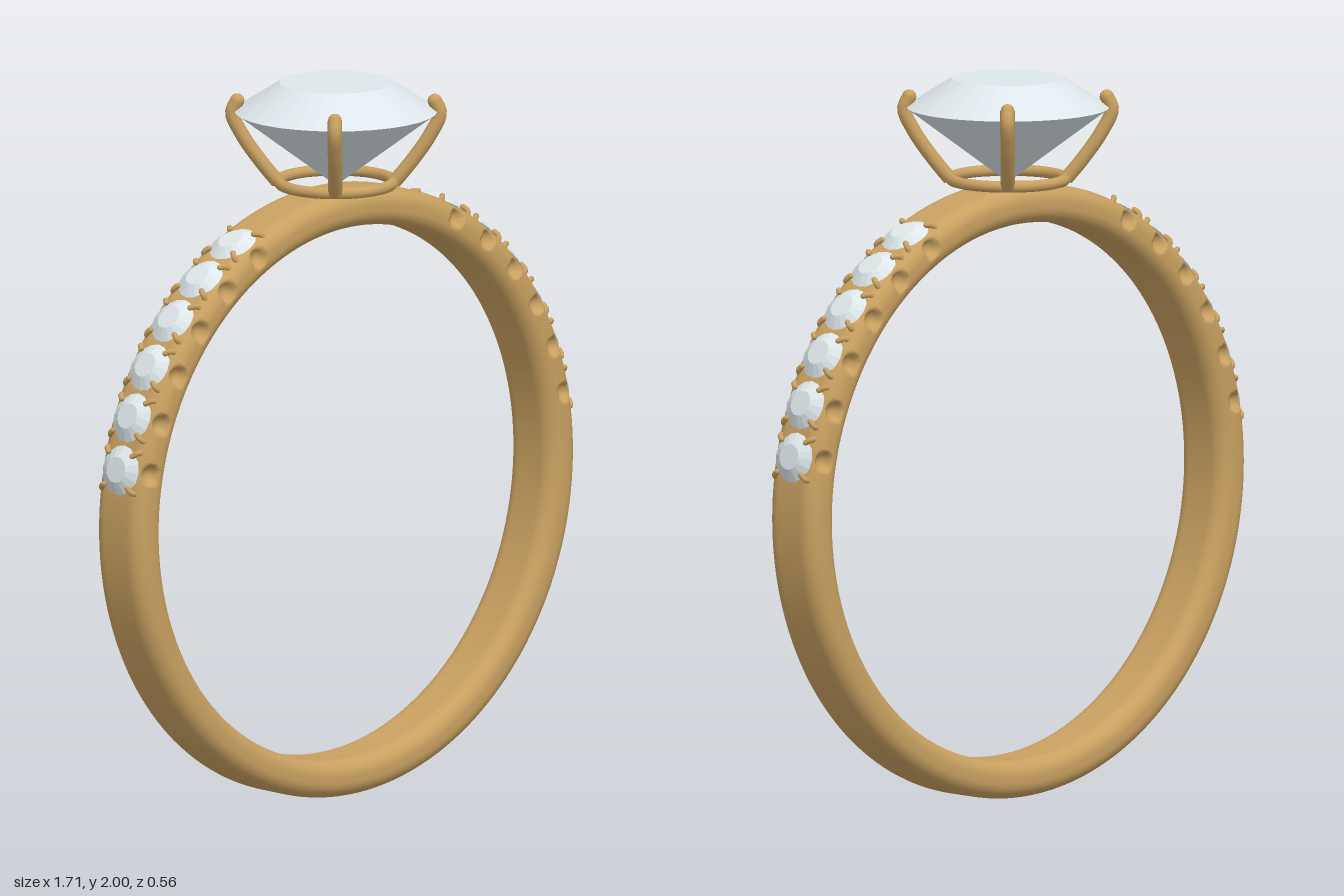
import * as THREE from 'three';

const CENTER_Y = 0.855, MID_R = 0.7975, HALF_T = 0.0525, HALF_W = 0.09, CORNER = 0.045;
const STONE_ANGLES = [12, 22, 32, 42, 52, 62].flatMap(a => [a, 180 - a]);
const rad = THREE.MathUtils.degToRad;

const gold = new THREE.MeshStandardMaterial({ color: 0xc8a060 });
const gem = new THREE.MeshStandardMaterial({ color: 0xdde6ea, flatShading: true });

function add(parent, name, geometry, material) {
  const mesh = new THREE.Mesh(geometry, material);
  mesh.name = name;
  parent.add(mesh);
  return mesh;
}

// Faceted round stone: pointed pavilion, girdle at y = 0, flat table
function stoneGeometry(girdle, table, crown, depth, sides) {
  const profile = [[0, -depth], [girdle, 0], [table, crown], [0, crown]];
  return new THREE.LatheGeometry(profile.map(p => new THREE.Vector2(...p)), sides);
}

// Rounded wire through a few points, with a ball on its tip
function addWire(parent, name, points, radius, segments) {
  const path = new THREE.CatmullRomCurve3(points.map(p => new THREE.Vector3(...p)));
  add(parent, name, new THREE.TubeGeometry(path, segments, radius, 10), gold);
  add(parent, name + 'Tip', new THREE.SphereGeometry(radius, 10, 8), gold)
    .position.copy(path.getPoint(1));
}

// Band: rounded rectangle swept round a circle, with dimples under the small stones
function bandGeometry() {
  const a = HALF_T - CORNER, b = HALF_W - CORNER, q = Math.PI / 2;
  const outline = new THREE.Path();
  [[a, b], [-a, b], [-a, -b], [a, -b]].forEach(([x, y], i) =>
    outline.absarc(x, y, CORNER, i * q, (i + 1) * q, false));
  outline.closePath();
  const profile = outline.getSpacedPoints(72).slice(0, -1);

  // Finer steps where the dimples are
  const angles = [];
  for (let t = 0; t < 360;) {
    angles.push(t);
    t += (t >= 6 && t < 68) || (t >= 112 && t < 174) ? 0.5 : 2;
  }
  const dimples = STONE_ANGLES.map(d =>
    new THREE.Vector2(Math.cos(rad(d)), Math.sin(rad(d))).multiplyScalar(0.816));

  const positions = [], index = [], P = profile.length, N = angles.length;
  const point = new THREE.Vector2();
  angles.forEach((t, i) => profile.forEach((p, j) => {
    point.set(Math.cos(rad(t)), Math.sin(rad(t))).multiplyScalar(MID_R + p.x);
    let z = p.y;
    for (const d of dimples) {
      const r2 = 0.028 ** 2 - point.distanceToSquared(d);
      if (r2 > 0) z = Math.sign(z) * Math.min(Math.abs(z), 0.09 - Math.sqrt(r2));
    }
    positions.push(point.x, point.y, z);
    const i2 = (i + 1) % N, j2 = (j + 1) % P;
    const A = i * P + j, B = i2 * P + j, C = i2 * P + j2, D = i * P + j2;
    index.push(A, B, C, A, C, D);
  }));
  const g = new THREE.BufferGeometry();
  g.setAttribute('position', new THREE.Float32BufferAttribute(positions, 3));
  g.setIndex(index);
  g.computeVertexNormals();
  return g;
}

export function createModel() {
  const ring = new THREE.Group();
  ring.name = 'ring';
  add(ring, 'band', bandGeometry(), gold).position.y = CENTER_Y;

  // Small stones along both shoulders, each held by four claws
  const smallStone = stoneGeometry(0.07, 0.036, 0.02, 0.045, 16);
  for (const angle of STONE_ANGLES) {
    const setting = new THREE.Group();
    setting.name = 'shoulderSetting';
    const t = rad(angle);
    setting.position.set(Math.cos(t) * 0.847, CENTER_Y + Math.sin(t) * 0.847, 0);
    setting.rotation.z = t - Math.PI / 2;
    add(setting, 'shoulderStone', smallStone, gem);
    for (const sx of [-1, 1]) for (const sz of [-1, 1]) {
      addWire(setting, 'claw', [
        [sx * 0.058, -0.02, sz * 0.062],
        [sx * 0.056, 0.004, sz * 0.06],
        [sx * 0.045, 0.011, sz * 0.047],
      ], 0.008, 6);
    }
    ring.add(setting);
  }

  // Head: large stone, base ring and four diagonal prongs
  const head = new THREE.Group();
  head.name = 'head';
  ring.add(head);
  add(head, 'centerStone', stoneGeometry(0.28, 0.156, 0.08, 0.21, 32), gem).position.y = 1.92;
  const base = add(head, 'baseRing', new THREE.TorusGeometry(0.157, 0.016, 12, 64), gold);
  base.rotation.x = Math.PI / 2;
  base.position.y = 1.72;
  for (let i = 0; i < 4; i++) {
    const prong = new THREE.Group();
    prong.name = 'prong';
    prong.rotation.y = Math.PI / 4 + i * Math.PI / 2;
    addWire(prong, 'prongWire', [
      [0.16, 1.72, 0], [0.205, 1.775, 0], [0.257, 1.85, 0], [0.286, 1.915, 0], [0.272, 1.948, 0],
    ], 0.02, 24);
    head.add(prong);
  }
  return ring;
}
